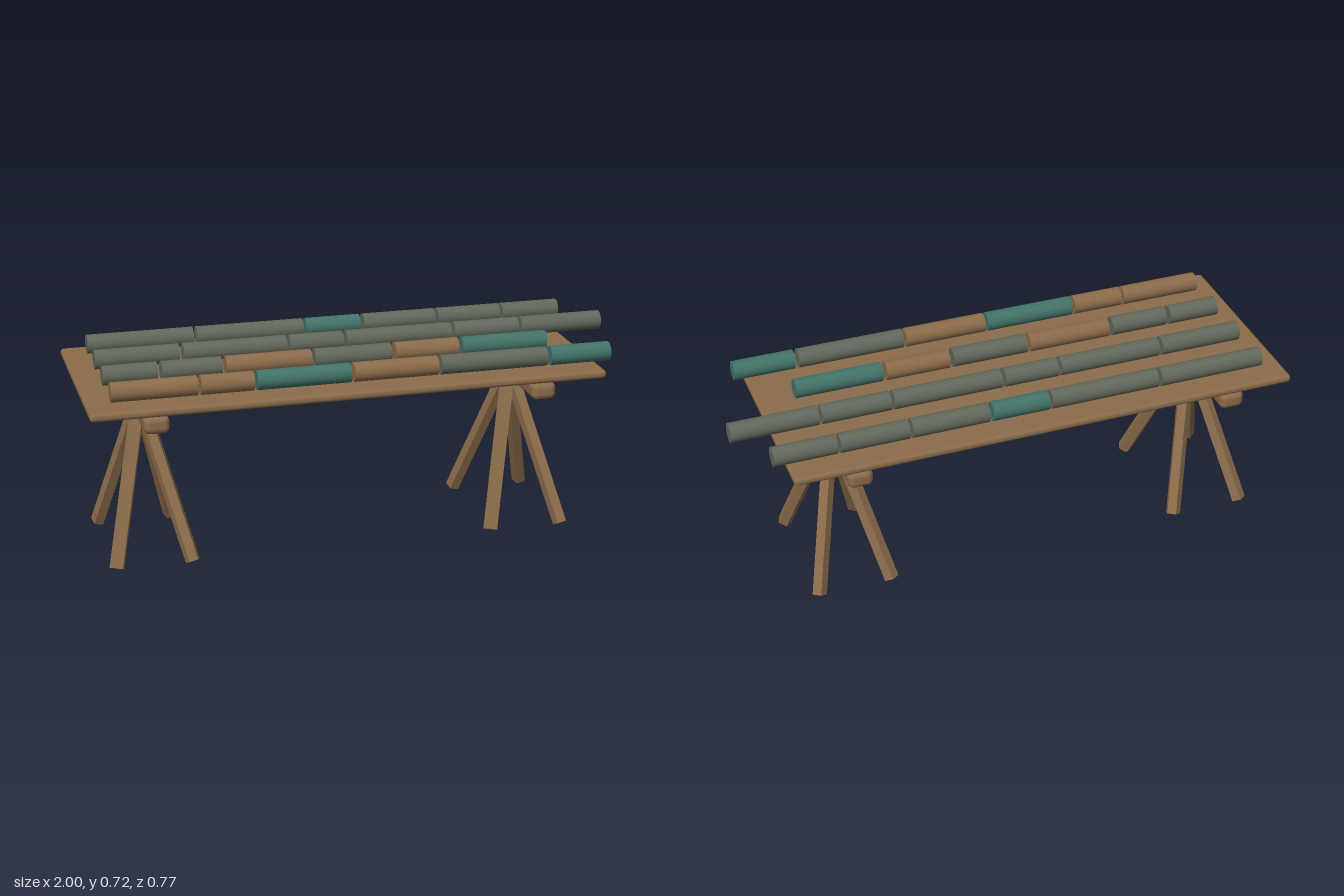
import * as THREE from 'three';
import { RoundedBoxGeometry } from 'three/addons/geometries/RoundedBoxGeometry.js';

const material = (name, color) => {
  const m = new THREE.MeshStandardMaterial({ color });
  m.name = name;
  return m;
};

export function createModel() {
  const wood = material('brown wood', 0x8b6c4b);
  const teal = material('teal', 0x427369);
  const grey = material('grey green', 0x62685a);
  const legWood = wood.clone();
  legWood.name = 'brown wood faceted';
  legWood.flatShading = true;

  const model = new THREE.Group();
  model.name = 'trestleTable';
  const add = (parent, name, geometry, mat, x, y, z) => {
    const mesh = new THREE.Mesh(geometry, mat);
    mesh.name = name;
    mesh.position.set(x, y, z);
    parent.add(mesh);
    return mesh;
  };

  // Table top
  add(model, 'tableTop', new RoundedBoxGeometry(1.85, 0.03, 0.77, 2, 0.013), wood, -0.075, 0.632, 0);

  // Trestles: a cross beam on four splayed five-sided legs
  const up = new THREE.Vector3(0, 1, 0);
  for (const x of [-0.772, 0.617]) {
    const trestle = new THREE.Group();
    trestle.name = 'trestle';
    trestle.position.x = x;
    model.add(trestle);
    add(trestle, 'crossBeam', new RoundedBoxGeometry(0.09, 0.063, 0.77, 2, 0.022), wood, 0, 0.586, 0);
    for (const sx of [-1, 1]) {
      for (const sz of [-1, 1]) {
        const foot = new THREE.Vector3(sx * 0.136, 0.012, sz * 0.231);
        const top = new THREE.Vector3(0, 0.565, 0);
        const axis = top.clone().sub(foot);
        const geometry = new THREE.CylinderGeometry(0.028, 0.028, axis.length(), 5, 1, false, Math.PI);
        const mid = foot.add(top).multiplyScalar(0.5);
        const leg = add(trestle, 'leg', geometry, legWood, mid.x, mid.y, mid.z);
        leg.quaternion.setFromUnitVectors(up, axis.normalize());
      }
    }
  }

  // Rows of rods: [start, end, colour] along x
  const rows = [
    [-0.28, [[-0.915, -0.523, grey], [-0.51, -0.107, grey], [-0.097, 0.112, teal],
      [0.126, 0.406, grey], [0.417, 0.663, grey], [0.674, 0.898, grey]]],
    [-0.093, [[-0.915, -0.61, grey], [-0.595, -0.215, grey], [-0.203, -0.002, grey],
      [0.011, 0.412, grey], [0.423, 0.674, grey], [0.685, 1, grey]]],
    [0.093, [[-0.915, -0.722, grey], [-0.707, -0.492, grey], [-0.477, -0.167, wood],
      [-0.155, 0.127, grey], [0.143, 0.38, wood], [0.395, 0.716, teal]]],
    [0.28, [[-0.915, -0.615, wood], [-0.604, -0.417, wood], [-0.406, -0.071, teal],
      [-0.06, 0.246, wood], [0.257, 0.652, grey], [0.667, 0.892, teal]]],
  ];
  for (const [z, rods] of rows) {
    const row = new THREE.Group();
    row.name = 'rodRow';
    model.add(row);
    for (const [start, end, mat] of rods) {
      const geometry = new THREE.CylinderGeometry(0.035, 0.035, end - start, 24).rotateZ(Math.PI / 2);
      add(row, 'rod', geometry, mat, (start + end) / 2, 0.686, z);
    }
  }
  return model;
}
